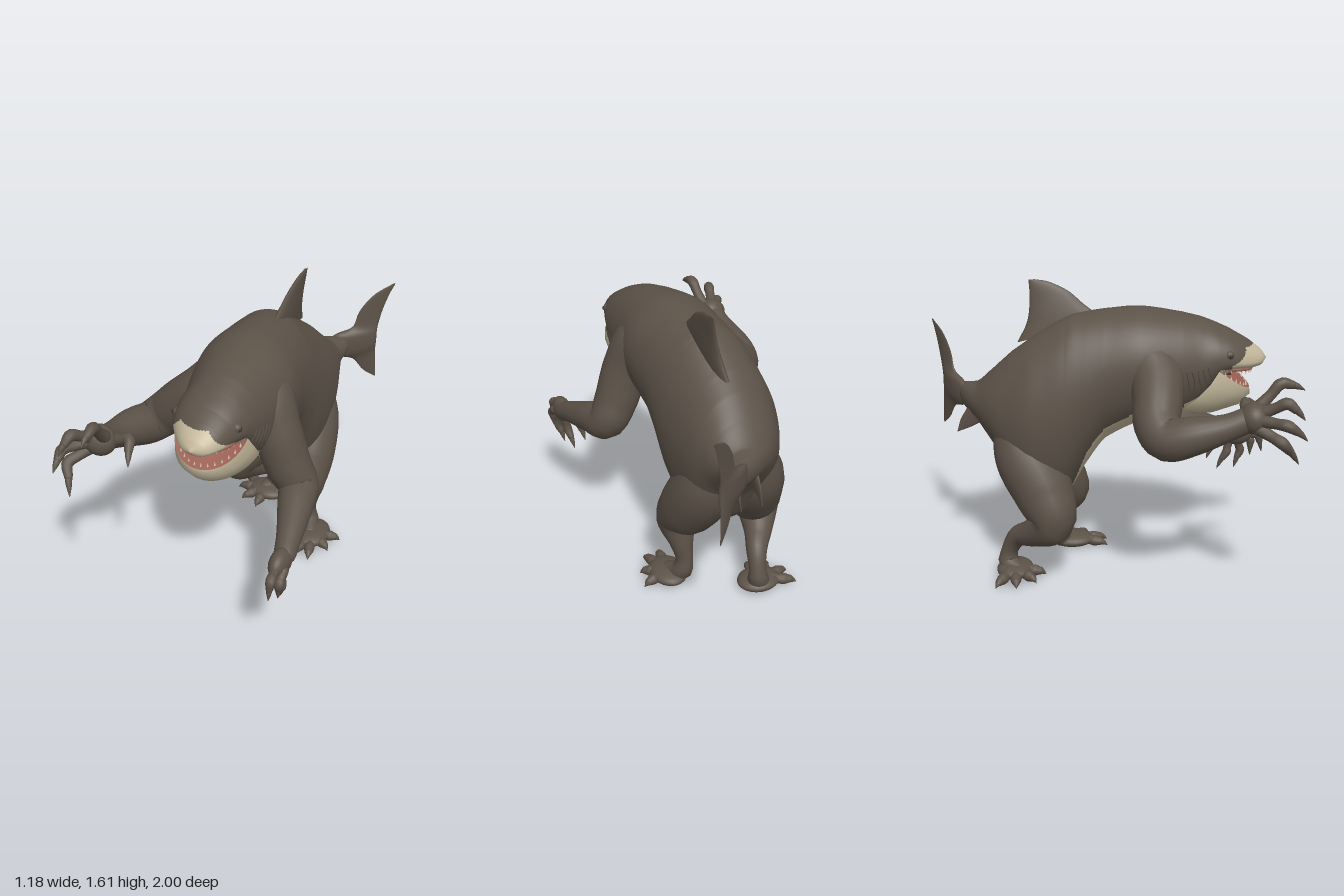
import * as THREE from 'three';

const mat = (name, color, side = THREE.FrontSide) => {
  const m = new THREE.MeshStandardMaterial({ color, side });
  m.name = name;
  return m;
};
const V = (p) => new THREE.Vector3(p[0], p[1], p[2]);
const lerp = THREE.MathUtils.lerp;

// Surface through rows of points; pick(centre) chooses the material group
function grid(rows, closed, pick = () => 0) {
  const n = rows[0].length, lists = [[], []];
  for (let i = 0; i < rows.length - 1; i++) {
    for (let j = 0; j < (closed ? n : n - 1); j++) {
      const k = (j + 1) % n;
      const mid = rows[i][j].clone().add(rows[i + 1][k]).multiplyScalar(0.5);
      const a = i * n + j, b = i * n + k, c = a + n, d = b + n;
      lists[pick(mid)].push(a, b, c, b, d, c);
    }
  }
  const g = new THREE.BufferGeometry().setFromPoints(rows.flat());
  g.setIndex(lists.flat());
  g.addGroup(0, lists[0].length, 0);
  g.addGroup(lists[0].length, lists[1].length, 1);
  g.computeVertexNormals();
  return g;
}

// Limb with rounded ends through [x, y, z, radius] points
function limb(pts, steps = 40, sides = 20) {
  const path = new THREE.CatmullRomCurve3(pts.map(V));
  const radii = new THREE.CatmullRomCurve3(pts.map((p, i) => new THREE.Vector3(p[3], i * 0.1, 0)));
  const f = path.computeFrenetFrames(steps);
  const rows = [];
  for (let i = 0; i <= steps; i++) {
    const t = path.getUtoTmapping(i / steps), c = path.getPoint(t), r = radii.getPoint(t).x;
    const ring = (k, dir) => Array.from({ length: sides }, (_, j) => {
      const a = (j / sides) * Math.PI * 2;
      return c.clone().addScaledVector(f.tangents[i], dir * r * Math.sqrt(1 - k * k))
        .addScaledVector(f.normals[i], Math.cos(a) * r * k).addScaledVector(f.binormals[i], Math.sin(a) * r * k);
    });
    if (i === 0) rows.push(...[0, 0.4, 0.75, 0.94].map((k) => ring(k, -1)));
    rows.push(ring(1, 0));
    if (i === steps) rows.push(...[0.94, 0.75, 0.4, 0].map((k) => ring(k, 1)));
  }
  return grid(rows, true);
}

// Lens-section fin; rows run upward as lead z, y, trail z, y, thickness
function fin(ribs, xAt) {
  const lead = new THREE.CatmullRomCurve3(ribs.map((r) => new THREE.Vector3(r[4], r[1], r[0])), false, 'catmullrom');
  const trail = new THREE.CatmullRomCurve3(ribs.map((r) => new THREE.Vector3(r[4], r[3], r[2])), false, 'catmullrom');
  const rows = Array.from({ length: 29 }, (_, i) => {
    const p = lead.getPoint(i / 28), q = trail.getPoint(i / 28);
    return Array.from({ length: 20 }, (_, j) => {
      const a = (j / 20) * Math.PI * 2, v = p.clone().lerp(q, (1 - Math.cos(a)) / 2);
      return v.setX(xAt(v.y, v.z) + Math.sin(a) * p.x / 2);
    });
  });
  return grid(rows, true);
}

export function createModel() {
  const root = new THREE.Group();
  root.name = 'sharkBeast';
  const D = THREE.DoubleSide;
  const skin = mat('skin', 0x5c5248), cream = mat('cream', 0xc4b89c, D), gum = mat('gum', 0x9c5f54, D);
  const throat = mat('throat', 0x43231f, D), tooth = mat('tooth', 0xd2c8b0), dark = mat('dark', 0x3a342e);
  const add = (name, geo, m, parent = root) => {
    const o = new THREE.Mesh(geo, m);
    o.name = name;
    parent.add(o);
    return o;
  };

  // Body sections: z, centre x, half width, top, bottom, height of widest point
  const sections = [
    [-0.83, 0.225, 0.006, 0.99, 0.95, 0.5], [-0.79, 0.18, 0.062, 1.025, 0.905, 0.5], [-0.7, 0.11, 0.13, 1.05, 0.85, 0.5],
    [-0.6, 0.07, 0.2, 1.14, 0.72, 0.5], [-0.5, 0.05, 0.25, 1.235, 0.53, 0.5], [-0.4, 0.035, 0.28, 1.31, 0.44, 0.5],
    [-0.3, 0.035, 0.29, 1.375, 0.4, 0.5], [-0.2, 0.04, 0.29, 1.43, 0.46, 0.5], [-0.1, 0.05, 0.28, 1.455, 0.63, 0.5],
    [0, 0.06, 0.272, 1.47, 0.77, 0.5], [0.2, 0.075, 0.272, 1.48, 0.87, 0.52], [0.4, 0.09, 0.237, 1.45, 0.9, 0.5],
    [0.5, 0.1, 0.212, 1.425, 0.96, 0.48], [0.6, 0.1, 0.19, 1.385, 1.1, 0.42], [0.68, 0.1, 0.163, 1.345, 1.15, 0.35],
    [0.75, 0.11, 0.125, 1.305, 1.155, 0.35], [0.82, 0.12, 0.065, 1.25, 1.17, 0.4], [0.85, 0.12, 0, 1.21, 1.205, 0.5],
  ];
  const plan = new THREE.CatmullRomCurve3(sections.map((s) => new THREE.Vector3(s[0], s[1], s[2])));
  const side = new THREE.CatmullRomCurve3(sections.map((s) => new THREE.Vector3(s[3], s[4], s[5])));
  const N = 144, ROWS = 320, rows = [];
  for (let i = 0; i <= ROWS; i++) {
    const a = plan.getPoint(i / ROWS), b = side.getPoint(i / ROWS);
    const mid = lerp(b.y, b.x, b.z);
    rows.push(Array.from({ length: N }, (_, j) => {
      const t = (j / N) * Math.PI * 2, s = Math.sin(t);
      return new THREE.Vector3(a.y + Math.cos(t) * a.z, mid + s * (s > 0 ? b.x - mid : mid - b.y), a.x);
    }));
  }
  // Pale snout, throat and belly
  const isCream = ({ x, y, z }) => {
    if (z > 0.66) return y < 1.285 - Math.max(0, Math.abs(x - 0.09) - 0.08) ? 1 : 0;
    if (z > 0.6) return y < 1.185 ? 1 : 0;
    if (z > 0.42) return y < 1 + 0.5 * (z - 0.42) ? 1 : 0;
    if (y < 0.425) return Math.abs(x - 0.04) < 0.04 && z > -0.34 ? 1 : 0;
    const h = THREE.MathUtils.clamp((y - 0.45) / 0.3, 0, 1);
    return y < 0.98 && z > -0.22 && Math.abs(x - 0.035 * h) < 0.163 * Math.pow(h, 0.7) ? 1 : 0;
  };
  add('body', grid(rows, true, isCream), [skin, cream]);
  const onBody = (z, deg) => {
    const row = rows.reduce((m, r) => (Math.abs(r[0].z - z) < Math.abs(m[0].z - z) ? r : m));
    return row[Math.round((deg / 360) * N + N) % N].clone();
  };

  // Lower jaw and mouth from U-shaped curves: half width, corner z, front z, corner y, front y
  const U = ([w, zc, zf, yc, yf]) => Array.from({ length: 33 }, (_, i) => {
    const a = (i / 32 - 0.5) * Math.PI, c = Math.cos(a);
    return new THREE.Vector3(0.1 + w * Math.sin(a), lerp(yc, yf, c), lerp(zc, zf, c));
  });
  const lip = [0.185, 0.595, 0.765, 1.18, 1.055];
  const jaw = [lip, [0.198, 0.55, 0.77, 1.11, 1.02], [0.19, 0.48, 0.72, 1.03, 0.965], [0.15, 0.4, 0.6, 0.96, 0.92], [0.08, 0.3, 0.42, 0.95, 0.93]];
  const inner = [0.12, 0.55, 0.67, 1.17, 1.12], back = [0.07, 0.5, 0.58, 1.17, 1.16];
  add('lowerJaw', grid(jaw.map(U), false), cream);
  add('gums', grid([lip, inner].map(U), false), gum);
  add('mouthInside', grid([inner, back].map(U), false), throat);
  const upper = U([0.15, 0.61, 0.775, 1.185, 1.165]);
  add('upperGum', new THREE.TubeGeometry(new THREE.CatmullRomCurve3(upper), 40, 0.008, 8), gum);
  const teeth = new THREE.Group();
  teeth.name = 'teeth';
  root.add(teeth);
  const lower = U([0.172, 0.58, 0.748, 1.185, 1.062]);
  for (let i = 3; i < 30; i += 2) {
    add('lowerTooth', new THREE.ConeGeometry(0.007, 0.026, 6), tooth, teeth).position.copy(lower[i]).y += 0.008;
    const t = add('upperTooth', new THREE.ConeGeometry(0.006, 0.022, 6), tooth, teeth);
    t.position.copy(upper[i]).y -= 0.014;
    t.rotation.x = Math.PI;
  }

  // Eyes and gill ridges on both sides
  for (const s of [1, -1]) {
    const at = (z, deg) => onBody(z, s > 0 ? deg : 180 - deg);
    const eye = at(0.645, 15);
    add('eyeLid', new THREE.SphereGeometry(0.026, 16, 12), skin).position.copy(eye).x -= s * 0.016;
    add('eye', new THREE.SphereGeometry(0.011, 12, 10), dark).position.copy(eye).add(new THREE.Vector3(s * 0.003, 0, 0.006));
    for (let k = 0; k < 5; k++) {
      const pts = [2, -10, -20, -30].map((d, i) => at(0.43 + k * 0.027 + [0, 0.012, 0.014, 0.006][i], d));
      add('gillRidge', new THREE.TubeGeometry(new THREE.CatmullRomCurve3(pts), 16, 0.006, 6), skin);
    }
  }

  // Fins and tail
  add('dorsalFin', fin([
    [-0.03, 1.42, -0.47, 1.28, 0.07], [-0.12, 1.485, -0.42, 1.38, 0.06], [-0.2, 1.55, -0.405, 1.47, 0.042],
    [-0.3, 1.595, -0.405, 1.55, 0.026], [-0.38, 1.608, -0.41, 1.605, 0.008],
  ], (y) => 0.1 + (y - 1.4) * 0.16), skin);
  add('tailFluke', fin([
    [-0.944, 0.73, -0.947, 0.735, 0.004], [-0.895, 0.785, -0.943, 0.8, 0.018], [-0.85, 0.87, -0.937, 0.91, 0.045],
    [-0.77, 0.91, -0.935, 0.97, 0.1], [-0.77, 1.02, -0.935, 1.03, 0.1], [-0.845, 1.07, -0.942, 1.08, 0.05],
    [-0.868, 1.17, -0.958, 1.17, 0.028], [-0.92, 1.265, -0.98, 1.26, 0.016], [-0.995, 1.325, -1, 1.32, 0.004],
  ], (y, z) => 0.19 + 1.18 * (-0.8 - z)), skin);
  for (const [x, slope] of [[0.05, 0.08], [0.16, 0.1]]) {
    add('pelvicFin', fin([[-0.81, 0.775, -0.812, 0.78, 0.004], [-0.7, 0.825, -0.785, 0.86, 0.02], [-0.6, 0.9, -0.73, 0.94, 0.04]],
      (y, z) => x + slope * (-0.6 - z)), skin);
  }

  // A finger or toe with a curved claw
  const digit = (name, base, mid, tip, r) => {
    const b = V(base), m = V(mid), t = V(tip);
    const q = (k, rad, lift = 0) => {
      const p = m.clone().lerp(t, k);
      return [p.x, p.y + lift, p.z, rad];
    };
    add(name, limb([[...base, r], [...b.clone().lerp(m, 0.55).toArray(), r * 0.78], [...mid, r * 0.85], q(0.45, r * 0.62, 0.008)], 14, 12), skin);
    add(name + 'Claw', limb([q(0.35, r * 0.58, 0.008), q(0.7, r * 0.42, 0.008), q(1, 0.002)], 8, 10), skin);
  };
  const ball = (name, c, s) => {
    const o = add(name, new THREE.SphereGeometry(1, 24, 16), skin);
    o.position.set(...c);
    o.scale.set(...s);
  };

  // Arms
  add('rightArm', limb([[0.06, 1.24, 0.18, 0.14], [-0.02, 1.225, 0.22, 0.15], [-0.12, 1.15, 0.27, 0.142], [-0.24, 1.06, 0.28, 0.128], [-0.34, 0.97, 0.28, 0.118], [-0.41, 0.92, 0.33, 0.11], [-0.44, 0.95, 0.45, 0.1], [-0.45, 1.0, 0.62, 0.07], [-0.44, 1.04, 0.72, 0.065]]), skin);
  ball('rightPalm', [-0.44, 1.05, 0.75], [0.085, 0.08, 0.075]);
  for (const [b, m, t] of [
    [[-0.4, 1.09, 0.77], [-0.38, 1.21, 0.88], [-0.37, 1.175, 0.995]], [[-0.46, 1.08, 0.78], [-0.5, 1.145, 0.9], [-0.52, 1.07, 0.985]],
    [[-0.48, 1.05, 0.78], [-0.555, 1.05, 0.9], [-0.55, 0.975, 0.998]], [[-0.48, 1.01, 0.77], [-0.55, 0.96, 0.88], [-0.49, 0.835, 0.97]],
    [[-0.4, 1.04, 0.71], [-0.29, 1.08, 0.72], [-0.235, 1.0, 0.83]],
  ]) digit('rightFinger', b, m, t, 0.035);

  add('leftArm', limb([[0.1, 1.27, 0.2, 0.13], [0.2, 1.22, 0.26, 0.15], [0.29, 1.07, 0.3, 0.127], [0.36, 0.88, 0.3, 0.118], [0.42, 0.765, 0.3, 0.105], [0.46, 0.73, 0.42, 0.09], [0.51, 0.68, 0.6, 0.064], [0.53, 0.65, 0.69, 0.055]]), skin);
  ball('leftPalm', [0.53, 0.635, 0.74], [0.05, 0.07, 0.095]);
  for (const [b, m, t] of [
    [[0.53, 0.64, 0.78], [0.54, 0.62, 0.87], [0.54, 0.52, 0.895]], [[0.56, 0.62, 0.78], [0.565, 0.58, 0.83], [0.56, 0.49, 0.83]],
    [[0.54, 0.6, 0.75], [0.55, 0.52, 0.77], [0.53, 0.42, 0.735]], [[0.53, 0.59, 0.7], [0.52, 0.52, 0.69], [0.505, 0.42, 0.635]],
    [[0.51, 0.64, 0.68], [0.475, 0.59, 0.61], [0.46, 0.5, 0.57]],
  ]) digit('leftFinger', b, m, t, 0.03);

  // Legs and feet
  add('leftLeg', limb([[0.13, 0.9, -0.48, 0.12], [0.17, 0.7, -0.42, 0.165], [0.205, 0.52, -0.3, 0.162], [0.24, 0.38, -0.22, 0.118], [0.242, 0.26, -0.265, 0.065], [0.235, 0.16, -0.285, 0.048], [0.25, 0.08, -0.275, 0.058], [0.29, 0.05, -0.2, 0.045]]), skin);
  ball('leftFoot', [0.3, 0.045, -0.21], [0.1, 0.042, 0.13]);
  for (const t of [[0.27, 0.016, 0], [0.36, 0.016, -0.01], [0.43, 0.016, -0.13], [0.455, 0.016, -0.25]]) {
    const at = (k, y) => [lerp(0.3, t[0], k), y, lerp(-0.21, t[2], k)];
    digit('leftToe', at(0.3, 0.045), at(0.65, 0.038), t, 0.036);
  }
  add('rightLeg', limb([[-0.03, 0.9, -0.48, 0.12], [-0.09, 0.7, -0.42, 0.165], [-0.15, 0.52, -0.32, 0.162], [-0.21, 0.37, -0.27, 0.122], [-0.16, 0.285, -0.38, 0.078], [-0.105, 0.235, -0.47, 0.057], [-0.085, 0.14, -0.522, 0.046], [-0.09, 0.07, -0.525, 0.06], [-0.13, 0.05, -0.48, 0.045]]), skin);
  ball('rightFoot', [-0.11, 0.045, -0.49], [0.12, 0.042, 0.1]);
  for (const t of [[-0.3, 0.016, -0.57], [-0.3, 0.016, -0.46], [-0.23, 0.016, -0.36], [-0.12, 0.016, -0.32]]) {
    const at = (k, y) => [lerp(-0.12, t[0], k), y, lerp(-0.49, t[2], k)];
    digit('rightToe', at(0.3, 0.045), at(0.65, 0.038), t, 0.036);
  }
  return root;
}
